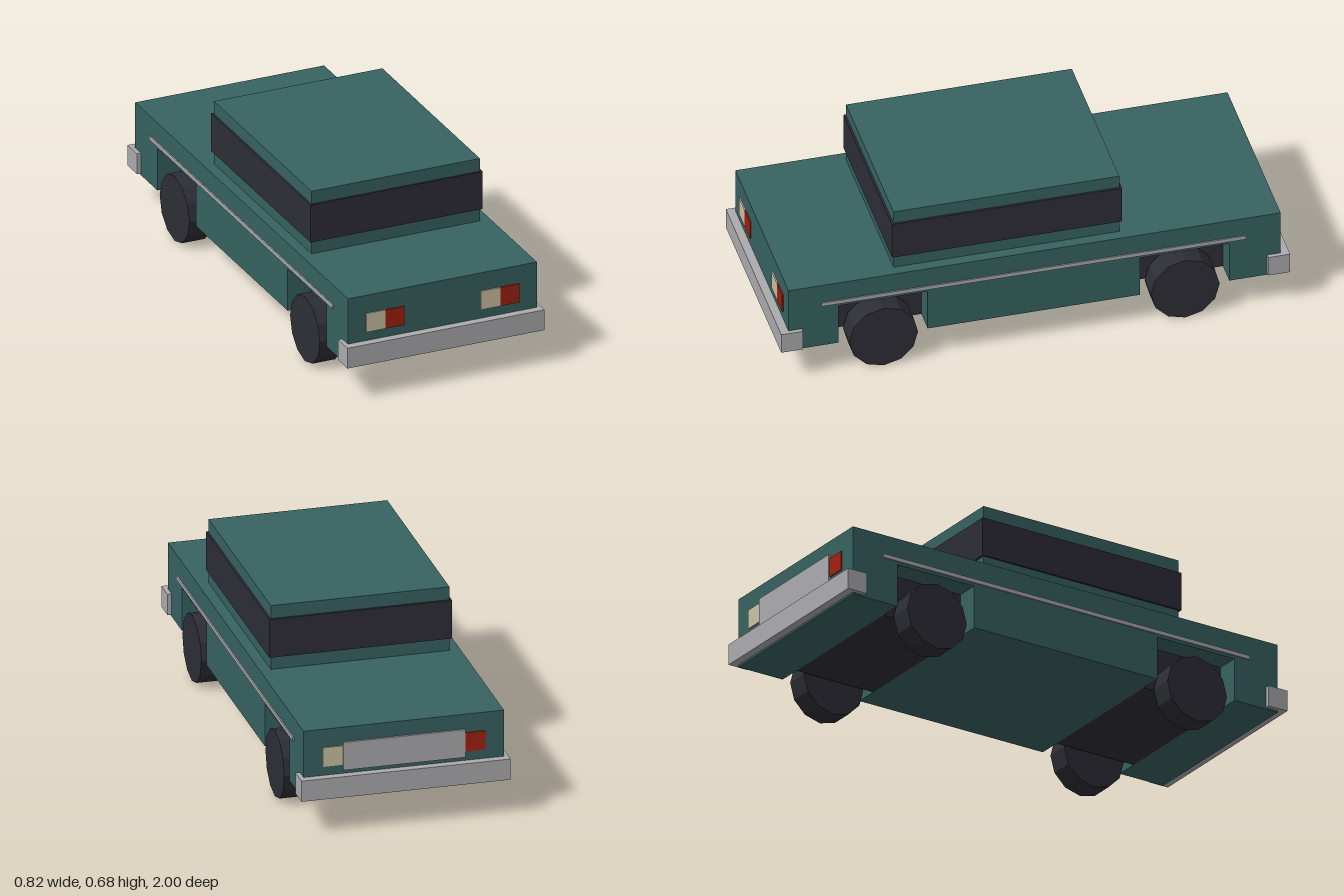
import * as THREE from 'three';

const mat = (name, color) => {
  const m = new THREE.MeshStandardMaterial({ color });
  m.name = name;
  return m;
};

export function createModel() {
  const teal = mat('teal paint', 0x366260);
  const dark = mat('dark rubber and glass', 0x2d2d36);
  const silver = mat('silver trim', 0xababaf);
  const cream = mat('cream lamp', 0xcac0a2);
  const red = mat('red lamp', 0xa0200f);
  const car = new THREE.Group();
  car.name = 'car';

  // Box given by its extents on each axis
  const box = (name, material, [x0, x1], [y0, y1], [z0, z1]) => {
    const mesh = new THREE.Mesh(new THREE.BoxGeometry(x1 - x0, y1 - y0, z1 - z0), material);
    mesh.position.set((x0 + x1) / 2, (y0 + y1) / 2, (z0 + z1) / 2);
    mesh.name = name;
    car.add(mesh);
  };

  // Lower body: side profile with two wheel notches, extruded across the width
  const bottom = 0.135, arch = 0.31, top = 0.418, end = 0.967, half = 0.395;
  const notches = [[-0.765, -0.415], [0.42, 0.77]];
  const profile = new THREE.Shape();
  profile.moveTo(-end, bottom);
  for (const [a, b] of notches) {
    profile.lineTo(a, bottom);
    profile.lineTo(a, arch);
    profile.lineTo(b, arch);
    profile.lineTo(b, bottom);
  }
  profile.lineTo(end, bottom);
  profile.lineTo(end, top);
  profile.lineTo(-end, top);
  const bodyGeo = new THREE.ExtrudeGeometry(profile, { depth: half * 2, bevelEnabled: false });
  bodyGeo.translate(0, 0, -half).rotateY(-Math.PI / 2);
  const body = new THREE.Mesh(bodyGeo, teal);
  body.name = 'body';
  car.add(body);

  // Dark liner between the wheels
  for (const z of notches) box('wheelArchLiner', dark, [-0.3, 0.3], [bottom, arch], z);

  // Cabin with a wraparound window band
  box('cabin', teal, [-0.352, 0.352], [top, 0.68], [-0.344, 0.543]);
  box('windowBand', dark, [-0.36, 0.36], [0.47, 0.627], [-0.353, 0.551]);

  // Wheels: twelve-sided cylinders with a corner at the bottom
  const wheelGeo = new THREE.CylinderGeometry(0.135, 0.135, 0.095, 12).toNonIndexed();
  wheelGeo.rotateZ(Math.PI / 2);
  wheelGeo.computeVertexNormals();
  for (const x of [-0.356, 0.356]) {
    for (const z of [-0.59, 0.595]) {
      const wheel = new THREE.Mesh(wheelGeo, dark);
      wheel.position.set(x, 0.135, z);
      wheel.name = 'wheel';
      car.add(wheel);
    }
  }

  // Bumpers
  box('frontBumper', silver, [-0.412, 0.412], [0.143, 0.228], [0.914, 1]);
  box('rearBumper', silver, [-0.412, 0.412], [0.143, 0.228], [-1, -0.914]);

  // Side trim strips
  box('leftTrim', silver, [half, 0.4], [0.322, 0.338], [-0.83, 0.838]);
  box('rightTrim', silver, [-0.4, -half], [0.322, 0.338], [-0.83, 0.838]);

  // Two-tone lamps; the rear pair is the front pair turned half round
  const lampY = [0.265, 0.343];
  for (const x of [-0.24, 0.24]) {
    box('frontLampCream', cream, [x - 0.08, x], lampY, [end, 0.972]);
    box('frontLampRed', red, [x, x + 0.08], lampY, [end, 0.972]);
    box('rearLampCream', cream, [x, x + 0.08], lampY, [-0.972, -end]);
    box('rearLampRed', red, [x - 0.08, x], lampY, [-0.972, -end]);
  }

  // Rear panel between the lamps
  box('rearPanel', silver, [-0.24, 0.24], [0.244, 0.358], [-0.976, -end]);

  return car;
}
